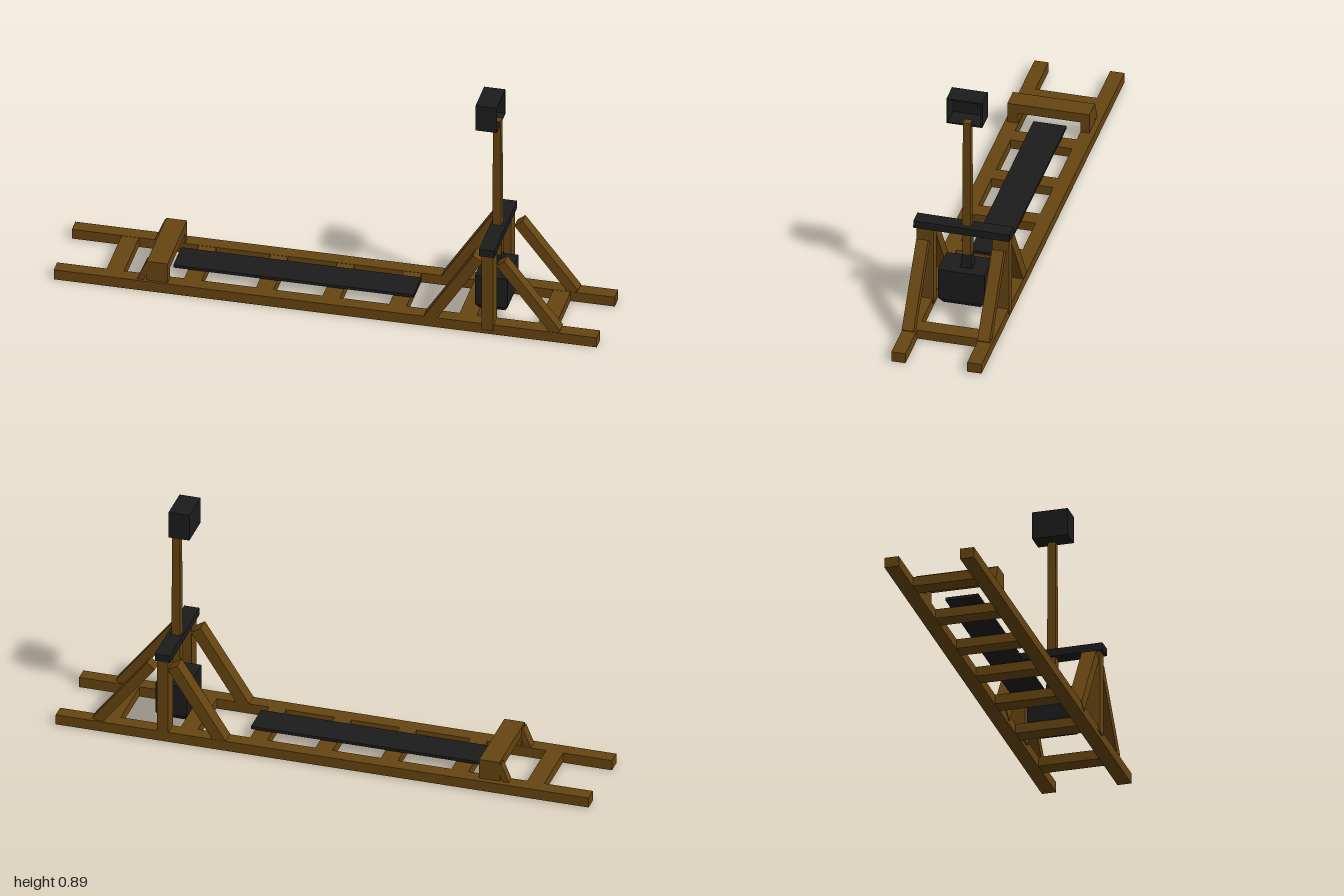
import * as THREE from 'three';

const wood = new THREE.MeshStandardMaterial({ color: 0x664411, flatShading: true });
const iron = new THREE.MeshStandardMaterial({ color: 0x1c1c1c, flatShading: true });

export function createModel() {
  const model = new THREE.Group();

  const add = (name, geometry, material) => {
    const mesh = new THREE.Mesh(geometry, material);
    mesh.name = name;
    model.add(mesh);
    return mesh;
  };

  // Box given by its lower and upper limits on each axis
  const block = (name, material, x0, x1, y0, y1, z0, z1) => {
    const mesh = add(name, new THREE.BoxGeometry(x1 - x0, y1 - y0, z1 - z0), material);
    mesh.position.set((x0 + x1) / 2, (y0 + y1) / 2, (z0 + z1) / 2);
    return mesh;
  };

  // Square-ended beam leaning in the xy plane
  const beam = (name, xa, ya, xb, yb, thick, z0, z1) => {
    const length = Math.hypot(xb - xa, yb - ya);
    const mesh = add(name, new THREE.BoxGeometry(length, thick, z1 - z0), wood);
    mesh.position.set((xa + xb) / 2, (ya + yb) / 2, (z0 + z1) / 2);
    mesh.rotation.z = Math.atan2(yb - ya, xb - xa);
  };

  // Box whose bottom is scaled in x and z
  const tapered = (name, material, w, h, d, scaleX, scaleZ, x, y0, z) => {
    const geometry = new THREE.BoxGeometry(w, h, d);
    const p = geometry.attributes.position;
    for (let i = 0; i < p.count; i++) {
      if (p.getY(i) < 0) p.setXYZ(i, p.getX(i) * scaleX, p.getY(i), p.getZ(i) * scaleZ);
    }
    geometry.computeVertexNormals();
    add(name, geometry, material).position.set(x, y0 + h / 2, z);
  };

  // Ladder base
  block('leftRail', wood, -1, 1, 0.002, 0.042, 0.108, 0.16);
  block('rightRail', wood, -1, 1, 0.004, 0.043, -0.174, -0.121);
  for (const x of [-0.785, -0.5, -0.235, 0.01, 0.255, 0.515, 0.805]) {
    block('rung', wood, x - 0.032, x + 0.032, 0.006, 0.042, -0.125, 0.112);
  }

  // Sliding track
  block('track', iron, -0.585, 0.3, 0.047, 0.058, -0.069, 0.054);

  // Low stop at the far end, with its posts and short props
  block('stopBeam', wood, -0.66, -0.583, 0.083, 0.12, -0.154, 0.15);
  for (const [z0, z1] of [[0.11, 0.15], [-0.154, -0.122]]) {
    block('stopPost', wood, -0.66, -0.583, 0.015, 0.085, z0, z1);
    beam('stopProp', -0.69, 0.025, -0.655, 0.11, 0.022, z0, z1);
  }

  // Uprights and slanted braces on both sides
  for (const [z0, z1] of [[0.105, 0.167], [-0.176, -0.113]]) {
    block('upright', wood, 0.578, 0.62, 0.02, 0.34, z0, z1);
    beam('longBrace', 0.378, 0.028, 0.562, 0.312, 0.042, z0 + 0.003, z1 - 0.005);
    beam('rearBrace', 0.85, 0.04, 0.645, 0.302, 0.038, z0 + 0.009, z1 - 0.009);
  }

  // Axle bar
  const axle = block('axle', iron, 0.57, 0.627, 0.335, 0.364, -0.178, 0.178);
  axle.rotation.x = -0.008;

  // Throwing arm, slimmer towards the top
  tapered('arm', wood, 0.028, 0.62, 0.028, 1.25, 1.2, 0.594, 0.18, -0.015);

  // Counterweight with bevelled foot and tapered neck
  block('counterweight', iron, 0.532, 0.652, 0.07, 0.19, -0.092, 0.08);
  tapered('counterweightFoot', iron, 0.12, 0.022, 0.172, 0.8, 0.8, 0.592, 0.048, -0.006);
  tapered('counterweightNeck', iron, 0.034, 0.056, 0.032, 1.3, 1.4, 0.594, 0.19, -0.015);

  // Hollow bucket on top, open to +x
  const t = 0.006;
  block('bucketBack', iron, 0.53, 0.53 + t, 0.79, 0.894, -0.073, 0.06);
  block('bucketFloor', iron, 0.53 + t, 0.608, 0.79, 0.79 + t, -0.073, 0.06);
  block('bucketTop', iron, 0.53 + t, 0.608, 0.894 - t, 0.894, -0.073, 0.06);
  for (const z of [-0.073, 0.06 - t]) {
    block('bucketSide', iron, 0.53 + t, 0.608, 0.79 + t, 0.894 - t, z, z + t);
  }

  return model;
}
